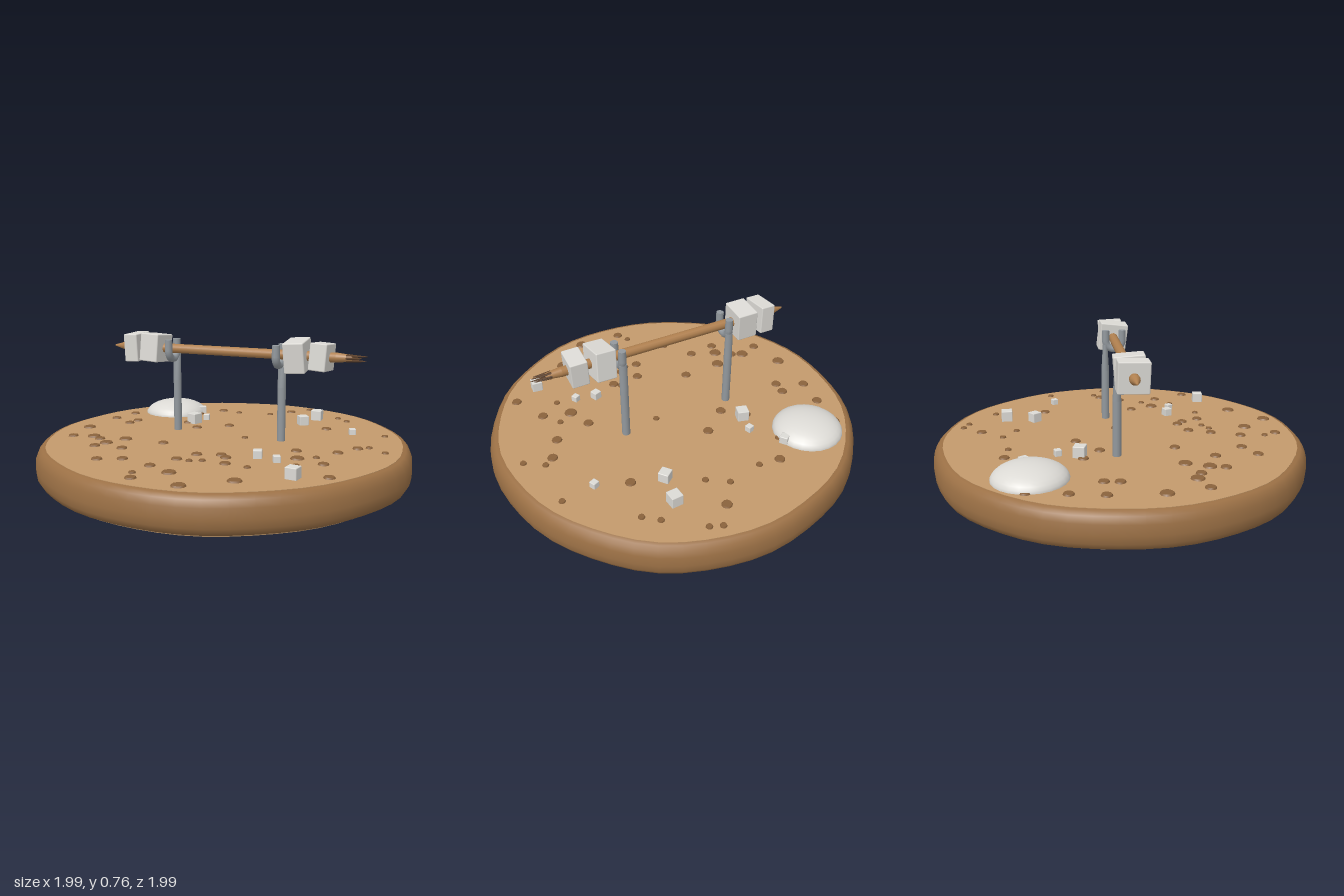
import * as THREE from 'three';
import { RoundedBoxGeometry } from 'three/addons/geometries/RoundedBoxGeometry.js';

const mat = (name, color) => {
  const m = new THREE.MeshStandardMaterial({ color });
  m.name = name;
  return m;
};

export function createModel() {
  const root = new THREE.Group();
  const crust = mat('crust brown', 0x9b7045);
  const tan = mat('tan', 0xc39a6c);
  const chip = mat('chip brown', 0x8a623c);
  const wood = mat('stick wood', 0xb0804f);
  const char = mat('charred wood', 0x5e4028);
  const white = mat('soft white', 0xdcdad5);
  const metal = mat('grey metal', 0x92989d);

  const add = (parent, name, geo, material, x = 0, y = 0, z = 0) => {
    const m = new THREE.Mesh(geo, material);
    m.name = name;
    m.position.set(x, y, z);
    parent.add(m);
    return m;
  };

  // Gentle unevenness of the round base
  const wobble = (geo) => {
    const p = geo.attributes.position;
    for (let i = 0; i < p.count; i++) {
      const a = Math.atan2(p.getZ(i), p.getX(i));
      const k = 0.993 + 0.004 * Math.sin(5 * a + 1) + 0.003 * Math.sin(11 * a);
      p.setX(i, p.getX(i) * k);
      p.setZ(i, p.getZ(i) * k);
    }
    return geo;
  };

  // Base: rounded crust with a flat face above and below
  const profile = [[0.92, 0.012], [0.95, 0.014], [0.98, 0.03], [0.997, 0.06], [1.0, 0.1],
    [0.996, 0.15], [0.982, 0.182], [0.965, 0.199], [0.94, 0.202]];
  add(root, 'crust', wobble(new THREE.LatheGeometry(profile.map(([r, y]) => new THREE.Vector2(r, y)), 56)), crust);
  add(root, 'topFace', wobble(new THREE.CylinderGeometry(0.948, 0.948, 0.03, 56)), tan, 0, 0.188, 0);
  add(root, 'bottomFace', wobble(new THREE.CylinderGeometry(0.935, 0.925, 0.03, 56)), tan, 0, 0.015, 0);

  // Chips scattered over the top, grouped by radius: x, z pairs
  const chips = new THREE.Group();
  chips.name = 'chips';
  root.add(chips);
  const spots = {
    0.038: [-0.8, 0.12, 0.05, 0.71, -0.51, 0.38, -0.46, 0.27, -0.65, 0.29, 0.37, 0.7, 0.5, 0.25, 0.18, 0.86],
    0.03: [0.115, -0.75, -0.29, -0.61, -0.76, -0.31, -0.79, -0.145, -0.64, -0.145, -0.65, -0.07, -0.76, 0.325,
      -0.59, 0.32, -0.53, 0.455, -0.375, 0.44, -0.375, 0.66, -0.265, 0.605, -0.065, 0.85, -0.085, 0.65,
      -0.025, 0.5, 0.025, 0.385, 0.14, 0.345, 0.18, 0.38, 0.22, 0.475, 0.65, 0.07, 0.645, 0.295, 0.73, 0.485,
      -0.235, 0.26, -0.235, -0.13, -0.085, -0.245, 0.45, -0.4, -0.34, -0.22, 0.72, -0.05, -0.73, -0.5, 0.45, 0.12],
    0.019: [0.2, -0.855, 0.26, -0.83, 0.02, -0.63, 0.12, -0.56, -0.175, -0.595, 0.505, -0.63, 0.435, -0.69,
      0.79, -0.36, 0.77, -0.085, 0.865, -0.02, 0.045, 0.505, 0.1, 0.475, 0.34, 0.49, 0.535, 0.37, 0.58, 0.2,
      -0.1, 0.78, 0.11, -0.02, -0.38, -0.47],
  };
  for (const [key, xz] of Object.entries(spots)) {
    const r = Number(key);
    const geo = new THREE.CylinderGeometry(r * 0.8, r, 0.012, 10);
    for (let i = 0; i < xz.length; i += 2) add(chips, 'chip', geo, chip, xz[i], 0.205, xz[i + 1]);
  }

  // Small cubes on the base: x, z, size, turn
  const cubes = [[0.325, -0.62, 0.062, 0.05], [0.29, -0.46, 0.056, 0.65], [0.615, -0.34, 0.036, 0.4],
    [-0.28, -0.345, 0.036, 0.3], [-0.305, -0.235, 0.062, -0.3], [-0.39, -0.51, 0.045, 0.6],
    [0.32, 0.315, 0.045, 0.35], [0.43, 0.345, 0.036, 0.5], [0.585, 0.555, 0.058, -0.1]];
  for (const [x, z, s, turn] of cubes) {
    add(root, 'smallCube', new RoundedBoxGeometry(s, s, s, 1, 0.004), white, x, 0.2 + s / 2, z).rotation.y = turn;
  }

  // Melted white mound
  const dome = add(root, 'mound', new THREE.SphereGeometry(1, 24, 8, 0, Math.PI * 2, 0, Math.PI / 2), white, -0.56, 0.2, -0.48);
  dome.scale.set(0.187, 0.083, 0.187);

  // Forked posts: flattened shaft at the back and a U-shaped cradle
  for (const x of [-0.315, 0.305]) {
    const post = new THREE.Group();
    post.name = 'post';
    post.position.x = x;
    root.add(post);
    add(post, 'shaft', new THREE.CylinderGeometry(0.022, 0.022, 0.3, 14), metal, 0, 0.34, -0.05);
    const neck = new THREE.CylinderGeometry(0.022, 0.022, 0.15, 14);
    const p = neck.attributes.position;
    for (let i = 0; i < p.count; i++) if (p.getY(i) > 0) p.setZ(i, p.getZ(i) * 0.6);
    neck.computeVertexNormals();
    add(post, 'neck', neck, metal, 0, 0.565, -0.05);
    const hook = new THREE.TorusGeometry(0.046, 0.021, 10, 16, Math.PI);
    hook.rotateZ(Math.PI).rotateY(Math.PI / 2);
    add(post, 'cradle', hook, metal, 0, 0.66, 0);
    for (const z of [-0.046, 0.046]) {
      add(post, 'prong', new THREE.CylinderGeometry(0.02, 0.021, 0.06, 12), metal, 0, 0.69, z);
    }
  }

  // Stick along x, pointed on one end and splintered on the other
  const spit = new THREE.Group();
  spit.name = 'stick';
  spit.position.y = 0.67;
  root.add(spit);
  const rod = (name, x0, x1, r0, r1, material, sides = 14) => {
    const geo = new THREE.CylinderGeometry(r1, r0, x1 - x0, sides).rotateZ(-Math.PI / 2);
    return add(spit, name, geo, material, (x0 + x1) / 2, 0, 0);
  };
  rod('shaft', -0.61, 0.61, 0.025, 0.025, wood);
  rod('point', -0.685, -0.61, 0.004, 0.025, wood);
  rod('taper', 0.61, 0.69, 0.025, 0.016, wood);
  for (let i = 0; i < 6; i++) {
    const a = i * Math.PI / 3;
    const s = rod('splinter', 0.66, 0.73 + 0.015 * (i % 3), 0.009, 0.002, char, 5);
    s.position.y = 0.013 * Math.sin(a);
    s.position.z = 0.013 * Math.cos(a);
  }

  // Lumps threaded on the stick: x, width, side, roll, lean
  const lumps = [[-0.54, 0.082, 0.152, 0.03, 0.03], [-0.42, 0.112, 0.152, -0.08, -0.05],
    [0.405, 0.108, 0.156, 0.12, 0.05], [0.534, 0.09, 0.138, -0.06, -0.06]];
  for (const [x, w, s, roll, lean] of lumps) {
    add(spit, 'skeweredCube', new RoundedBoxGeometry(w, s, s, 1, 0.006), white, x, 0, 0).rotation.set(roll, lean, lean);
  }
  return root;
}
